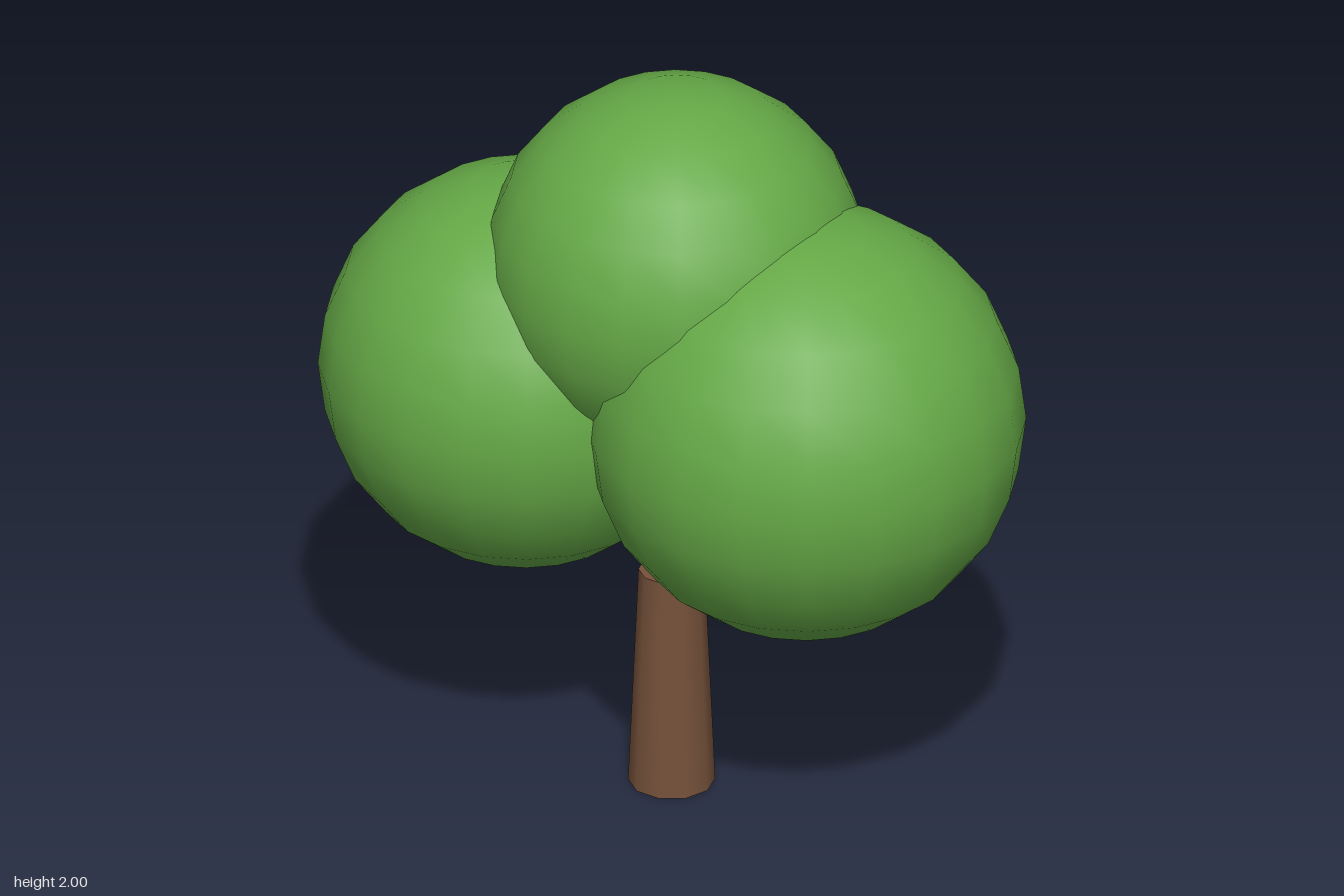
import * as THREE from 'three';

export function createModel() {
  const tree = new THREE.Group();
  tree.name = 'tree';

  const leafGreen = new THREE.MeshStandardMaterial({ color: 0x65a846 });
  leafGreen.name = 'leaf green';
  const barkBrown = new THREE.MeshStandardMaterial({ color: 0x75513a });
  barkBrown.name = 'bark brown';

  const add = (name, geometry, material, x, y, z) => {
    const mesh = new THREE.Mesh(geometry, material);
    mesh.name = name;
    mesh.position.set(x, y, z);
    tree.add(mesh);
  };

  // Tapered trunk, standing on the ground
  const trunkHeight = 0.62;
  add('trunk', new THREE.CylinderGeometry(0.086, 0.113, trunkHeight, 10), barkBrown, 0, trunkHeight / 2, -0.016);

  // Three overlapping balls of leaves: name, radius, centre
  const crowns = [
    ['leftCrown', 0.573, 0.383, 1.157, 0.054],
    ['rightCrown', 0.536, -0.424, 1.12, -0.1],
    ['topCrown', 0.496, 0, 1.504, -0.06],
  ];
  for (const [name, radius, x, y, z] of crowns) {
    add(name, new THREE.SphereGeometry(radius, 20, 12), leafGreen, x, y, z);
  }

  return tree;
}
